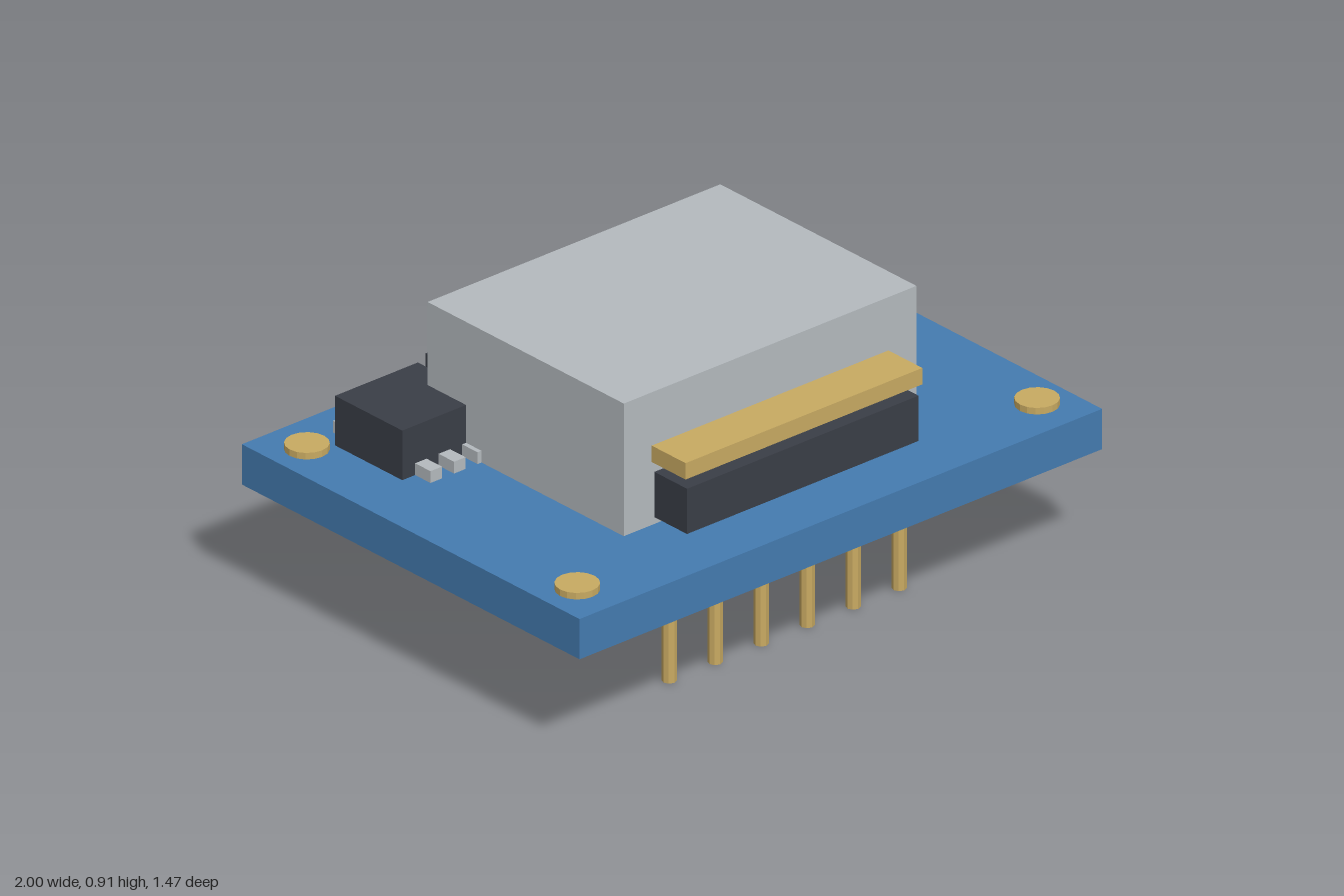
import * as THREE from 'three';

const mat = (name, color, flatShading = false) =>
  Object.assign(new THREE.MeshStandardMaterial({ color }), { name, flatShading });

export function createModel() {
  const blue = mat('boardBlue', 0x447bb0);
  const silver = mat('silver', 0xb4babe);
  const black = mat('blackPlastic', 0x3a3e47);
  const gold = mat('gold', 0xc8aa62, true);

  const model = new THREE.Group();
  model.name = 'circuitModule';

  // Box given by its lowest and highest corners
  const box = (name, material, [x0, y0, z0], [x1, y1, z1], parent = model) => {
    const mesh = new THREE.Mesh(new THREE.BoxGeometry(x1 - x0, y1 - y0, z1 - z0), material);
    mesh.position.set((x0 + x1) / 2, (y0 + y1) / 2, (z0 + z1) / 2);
    mesh.name = name;
    parent.add(mesh);
  };

  // Upright cylinder between two heights
  const post = (name, radius, sides, x, z, y0, y1) => {
    const mesh = new THREE.Mesh(new THREE.CylinderGeometry(radius, radius, y1 - y0, sides), gold);
    mesh.position.set(x, (y0 + y1) / 2, z);
    mesh.name = name;
    model.add(mesh);
  };

  // Board and shielded block
  box('board', blue, [-1, 0.352, -0.733], [1, 0.482, 0.733]);
  box('metalBlock', silver, [-0.56, 0.482, -0.426], [0.56, 0.91, 0.426]);

  // Black header strips and the gold contact bar in front
  box('frontHeader', black, [-0.443, 0.504, 0.407], [0.443, 0.65, 0.568]);
  box('backHeader', black, [-0.443, 0.504, -0.568], [0.443, 0.65, -0.407]);
  box('contactBar', gold, [-0.453, 0.685, 0.4], [0.453, 0.738, 0.573]);

  // Two rows of pins beneath the board
  for (const z of [-0.487, 0.487]) {
    for (let i = 0; i < 6; i++) post('pin', 0.022, 8, (i - 2.5) * 0.176, z, 0, 0.36);
  }

  // Corner pads
  for (const x of [-0.88, 0.88]) {
    for (const z of [-0.587, 0.587]) post('cornerPad', 0.066, 16, x, z, 0.478, 0.503);
  }

  // Small chip with three leads on each side
  const chip = new THREE.Group();
  chip.name = 'chip';
  model.add(chip);
  box('chipBody', black, [-0.804, 0.482, -0.551], [-0.487, 0.642, -0.259], chip);
  for (const x of [-0.733, -0.643, -0.553]) {
    box('backLead', silver, [x - 0.022, 0.482, -0.615], [x + 0.022, 0.52, -0.54], chip);
    box('frontLead', silver, [x - 0.022, 0.482, -0.27], [x + 0.022, 0.52, -0.192], chip);
  }

  return model;
}
